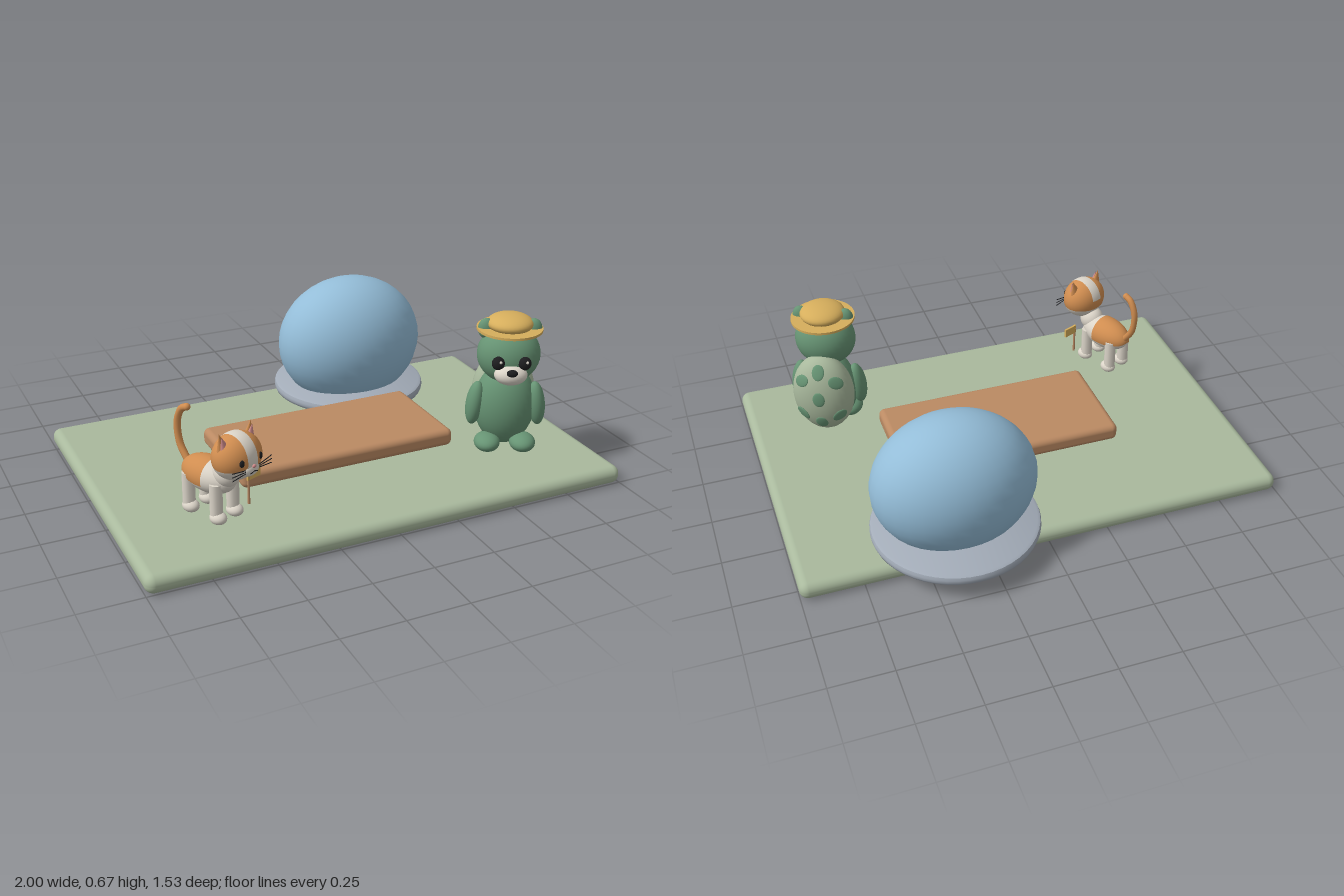
import * as THREE from 'three';
import { RoundedBoxGeometry } from 'three/addons/geometries/RoundedBoxGeometry.js';
import { toCreasedNormals } from 'three/addons/utils/BufferGeometryUtils.js';

const material = (name, color) => {
  const m = new THREE.MeshStandardMaterial({ color });
  m.name = name;
  return m;
};
const sage = material('sage', 0xa9b99d);
const green = material('green', 0x679474);
const blue = material('blue', 0x94bdd8);
const grey = material('grey', 0xa3acb8);
const wood = material('wood', 0xbb8a63);
const straw = material('straw', 0xd6ae5c);
const orange = material('orange', 0xd08d50);
const cream = material('cream', 0xdcd5c9);
const black = material('black', 0x1e1e20);
const pink = material('pink', 0xd08c8c);

function add(parent, name, geometry, mat, pos = [0, 0, 0], scale = [1, 1, 1]) {
  const mesh = new THREE.Mesh(geometry, mat);
  mesh.name = name;
  mesh.position.set(...pos);
  mesh.scale.set(...scale);
  parent.add(mesh);
  return mesh;
}
const sphere = new THREE.SphereGeometry(1, 32, 20);
const ball = (parent, name, mat, pos, radii) => add(parent, name, sphere, mat, pos, radii);

function rod(parent, name, mat, from, to, radius) {
  const a = new THREE.Vector3(...from), b = new THREE.Vector3(...to);
  const mesh = add(parent, name, new THREE.CylinderGeometry(radius, radius, a.distanceTo(b), 10), mat);
  mesh.position.copy(a).lerp(b, 0.5);
  mesh.quaternion.setFromUnitVectors(new THREE.Vector3(0, 1, 0), b.sub(a).normalize());
  return mesh;
}

function createBear() {
  const bear = new THREE.Group();
  bear.name = 'bear';
  ball(bear, 'body', green, [0, 0.275, 0], [0.125, 0.175, 0.105]);

  // Shell on the back, with flat spots laid on its surface
  const shellPos = new THREE.Vector3(0, 0.295, -0.07);
  const shellSize = new THREE.Vector3(0.13, 0.18, 0.09);
  ball(bear, 'shell', sage, shellPos.toArray(), shellSize.toArray());
  const spots = [[0, 0.1], [0.55, 0.5], [-0.55, 0.5], [0.6, -0.4], [-0.6, -0.4], [0, 0.75], [0, -0.6]];
  for (const [x, y] of spots) {
    const dir = new THREE.Vector3(x, y, -Math.sqrt(1 - x * x - y * y));
    const spot = ball(bear, 'shellSpot', green, dir.clone().multiply(shellSize).add(shellPos).toArray(), [0.026, 0.034, 0.006]);
    spot.quaternion.setFromUnitVectors(new THREE.Vector3(0, 0, 1), dir.divide(shellSize).normalize());
  }

  // Head and face
  ball(bear, 'head', green, [0, 0.505, 0.03], [0.127, 0.12, 0.108]);
  ball(bear, 'muzzle', cream, [0, 0.452, 0.125], [0.066, 0.042, 0.048]);
  ball(bear, 'nose', black, [0, 0.474, 0.167], [0.022, 0.015, 0.014]);
  for (const s of [-1, 1]) {
    ball(bear, 'eye', black, [s * 0.052, 0.502, 0.13], [0.026, 0.028, 0.02]);
    ball(bear, 'eyeGlint', cream, [s * 0.052 + 0.008, 0.512, 0.148], [0.006, 0.006, 0.004]);
    ball(bear, 'ear', green, [s * 0.094, 0.61, 0.025], [0.034, 0.043, 0.024]);
    const arm = ball(bear, 'arm', green, [s * 0.125, 0.285, 0.025], [0.036, 0.095, 0.042]);
    arm.rotation.z = s * 0.12;
    ball(bear, 'foot', green, [s * 0.072, 0.131, 0.07], [0.053, 0.037, 0.065]);
  }

  // Straw hat
  add(bear, 'hatBrim', new THREE.CylinderGeometry(0.132, 0.132, 0.01, 40), straw, [0, 0.61, 0.02]);
  ball(bear, 'hatCrown', straw, [0, 0.632, 0.02], [0.093, 0.039, 0.093]);
  return bear;
}

function createCat() {
  const cat = new THREE.Group();
  cat.name = 'cat';

  // Body with an orange saddle over the back
  ball(cat, 'body', cream, [0, 0.25, 0], [0.07, 0.068, 0.125]);
  const saddle = new THREE.SphereGeometry(1, 32, 16, -0.3, Math.PI + 0.6, 0, 1.75).rotateX(-Math.PI / 2);
  add(cat, 'saddle', saddle, orange, [0, 0.25, 0], [0.073, 0.071, 0.129]);
  ball(cat, 'neck', cream, [0, 0.285, 0.09], [0.05, 0.055, 0.055]);

  // Legs and paws
  for (const x of [-0.043, 0.043]) for (const z of [-0.07, 0.075]) {
    rod(cat, 'leg', cream, [x, 0.11, z], [x, 0.25, z], 0.025);
    ball(cat, 'paw', cream, [x, 0.112, z + 0.008], [0.03, 0.025, 0.036]);
  }

  // Upright tail
  const tail = new THREE.CatmullRomCurve3([[0, 0.26, -0.11], [0, 0.33, -0.155], [0, 0.42, -0.162],
    [0, 0.475, -0.135], [0, 0.488, -0.108]].map(p => new THREE.Vector3(...p)));
  add(cat, 'tail', new THREE.TubeGeometry(tail, 24, 0.014, 10), orange);
  ball(cat, 'tailTip', orange, [0, 0.488, -0.108], [0.014, 0.014, 0.014]);

  // Head: orange cap, cream jaw and a cream blaze from nose to nape
  const c = [0, 0.375, 0.145], r = [0.102, 0.09, 0.083];
  add(cat, 'headCap', new THREE.SphereGeometry(1, 32, 16, 0, Math.PI * 2, 0, 1.9), orange, c, r);
  add(cat, 'jaw', new THREE.SphereGeometry(1, 32, 10, 0, Math.PI * 2, 1.9, Math.PI - 1.9), cream, c, r);
  const blaze = new THREE.SphereGeometry(1, 32, 6, -1.4, 3.4, Math.PI / 2 - 0.24, 0.48).rotateZ(-Math.PI / 2);
  add(cat, 'blaze', blaze, cream, c, r.map(v => v * 1.015));
  ball(cat, 'muzzle', cream, [0, 0.342, 0.212], [0.04, 0.026, 0.02]);
  ball(cat, 'nose', pink, [0, 0.36, 0.232], [0.009, 0.007, 0.006]);
  const cone = new THREE.ConeGeometry(1, 2, 16);
  for (const s of [-1, 1]) {
    ball(cat, 'eye', black, [s * 0.046, 0.38, 0.217], [0.011, 0.014, 0.007]);
    add(cat, 'ear', cone, orange, [s * 0.072, 0.45, 0.14], [0.029, 0.035, 0.017]).rotation.z = -s * 0.25;
    add(cat, 'innerEar', cone, pink, [s * 0.071, 0.449, 0.15], [0.02, 0.026, 0.013]).rotation.z = -s * 0.25;
    rod(cat, 'mouth', black, [0, 0.341, 0.232], [s * 0.018, 0.334, 0.23], 0.002);
    for (const k of [-1, 0, 1])
      rod(cat, 'whisker', black, [s * 0.035, 0.346 + k * 0.006, 0.224], [s * 0.1, 0.348 + k * 0.015, 0.222], 0.0018);
  }

  // Small sign beside the front paws
  rod(cat, 'signPost', wood, [0.085, 0.13, 0.117], [0.085, 0.25, 0.117], 0.005);
  add(cat, 'signBoard', new THREE.BoxGeometry(0.066, 0.038, 0.009), straw, [0.112, 0.248, 0.117]);
  return cat;
}

export function createModel() {
  const model = new THREE.Group();
  model.name = 'garden';

  // Lawn and wooden deck
  add(model, 'lawn', new RoundedBoxGeometry(2, 0.075, 1.33, 5, 0.035), sage, [0, 0.0375, 0.097]);
  add(model, 'deck', new RoundedBoxGeometry(0.935, 0.074, 0.457, 4, 0.025), wood, [0, 0.122, 0.095]);

  // Blue dome on a grey plinth
  const rim = [[0, 0.08], [0.322, 0.08], [0.333, 0.087], [0.337, 0.098], [0.337, 0.109], [0.333, 0.12],
    [0.322, 0.126], [0, 0.126]].map(p => new THREE.Vector2(...p));
  add(model, 'plinth', toCreasedNormals(new THREE.LatheGeometry(rim, 48), 0.7), grey, [0.35, 0, -0.428]);
  ball(model, 'dome', blue, [0.35, 0.314, -0.424], [0.33, 0.29, 0.248]);

  // Animals
  const bear = createBear();
  bear.position.set(0.66, 0, 0.395);
  bear.rotation.y = -0.45;
  const cat = createCat();
  cat.position.set(-0.64, 0, 0.43);
  cat.rotation.y = 0.42;
  model.add(bear, cat);
  return model;
}
